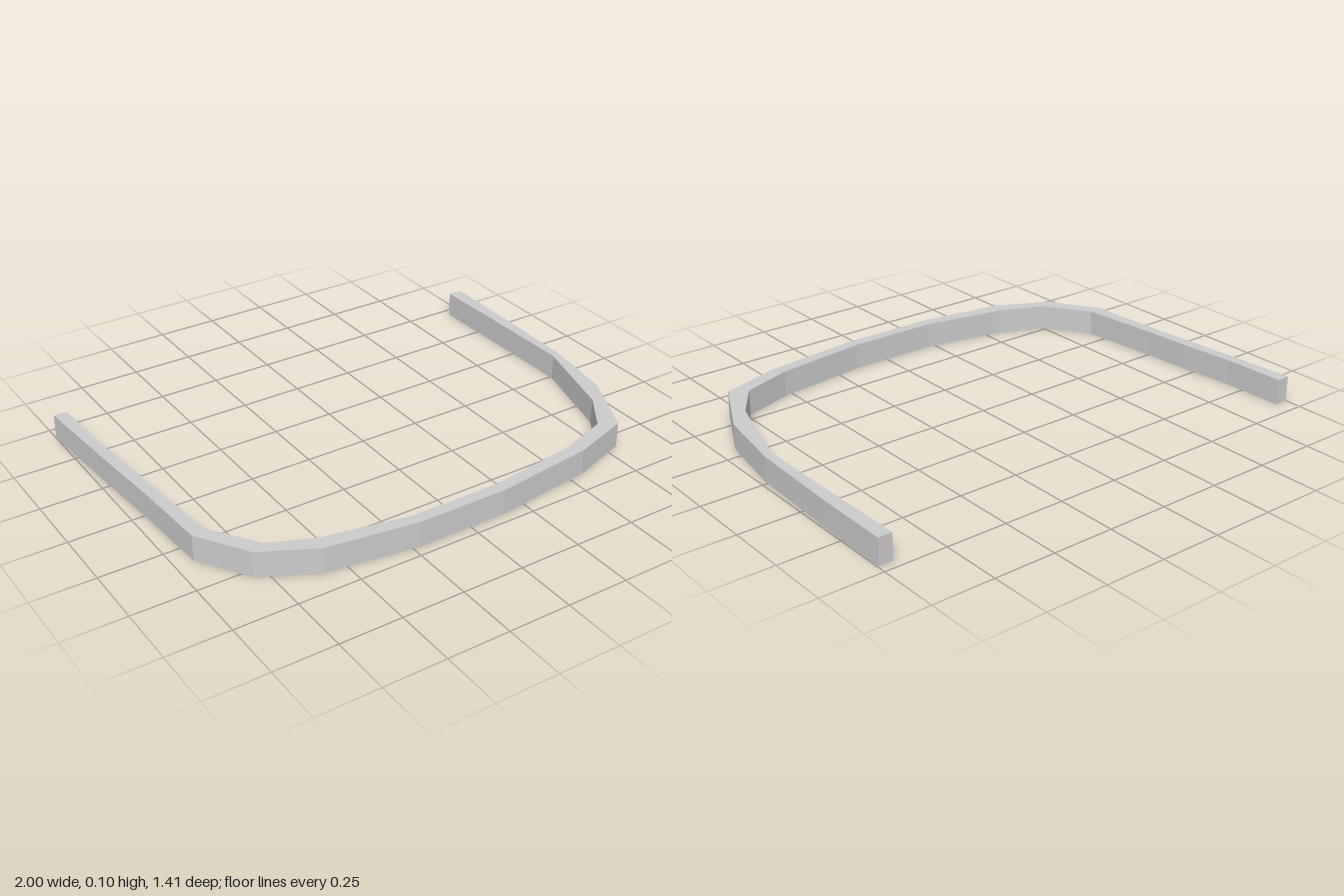
import * as THREE from 'three';

const HEIGHT = 0.105;

// Plan of the band as stations [outer x, outer z, inner x, inner z], right tip to left tip
const stations = [
  [-1.0, -0.68, -0.945, -0.68],
  [-0.98, -0.4, -0.938, -0.42],
  [-0.965, -0.2, -0.915, -0.2],
  [-0.948, 0.0, -0.902, 0.0],
  [-0.928, 0.34, -0.87, 0.33],
  [-0.8, 0.54, -0.742, 0.515],
  [-0.59, 0.65, -0.56, 0.592],
  [-0.22, 0.705, -0.22, 0.657],
  [0.15, 0.705, 0.15, 0.657],
  [0.56, 0.655, 0.53, 0.605],
  [0.805, 0.575, 0.735, 0.535],
  [0.935, 0.305, 0.842, 0.38],
  [0.98, 0.01, 0.947, 0.01],
  [0.993, -0.4, 0.943, -0.4],
  [0.995, -0.71, 0.938, -0.71],
];

export function createModel() {
  const group = new THREE.Group();
  group.name = 'curvedBand';

  // Out along the outer edge, back along the inner edge
  const outer = stations.map(([x, z]) => new THREE.Vector2(x, z));
  const inner = stations.map(([, , x, z]) => new THREE.Vector2(x, z)).reverse();
  const geometry = new THREE.ExtrudeGeometry(new THREE.Shape([...outer, ...inner]), {
    depth: HEIGHT,
    bevelEnabled: false,
  });
  // Lay the plan flat so the extrusion stands on the ground
  geometry.rotateX(Math.PI / 2).translate(0, HEIGHT, 0);

  const band = new THREE.Mesh(
    geometry,
    new THREE.MeshStandardMaterial({ color: 0xcccccc, flatShading: true })
  );
  band.name = 'band';
  group.add(band);
  return group;
}
